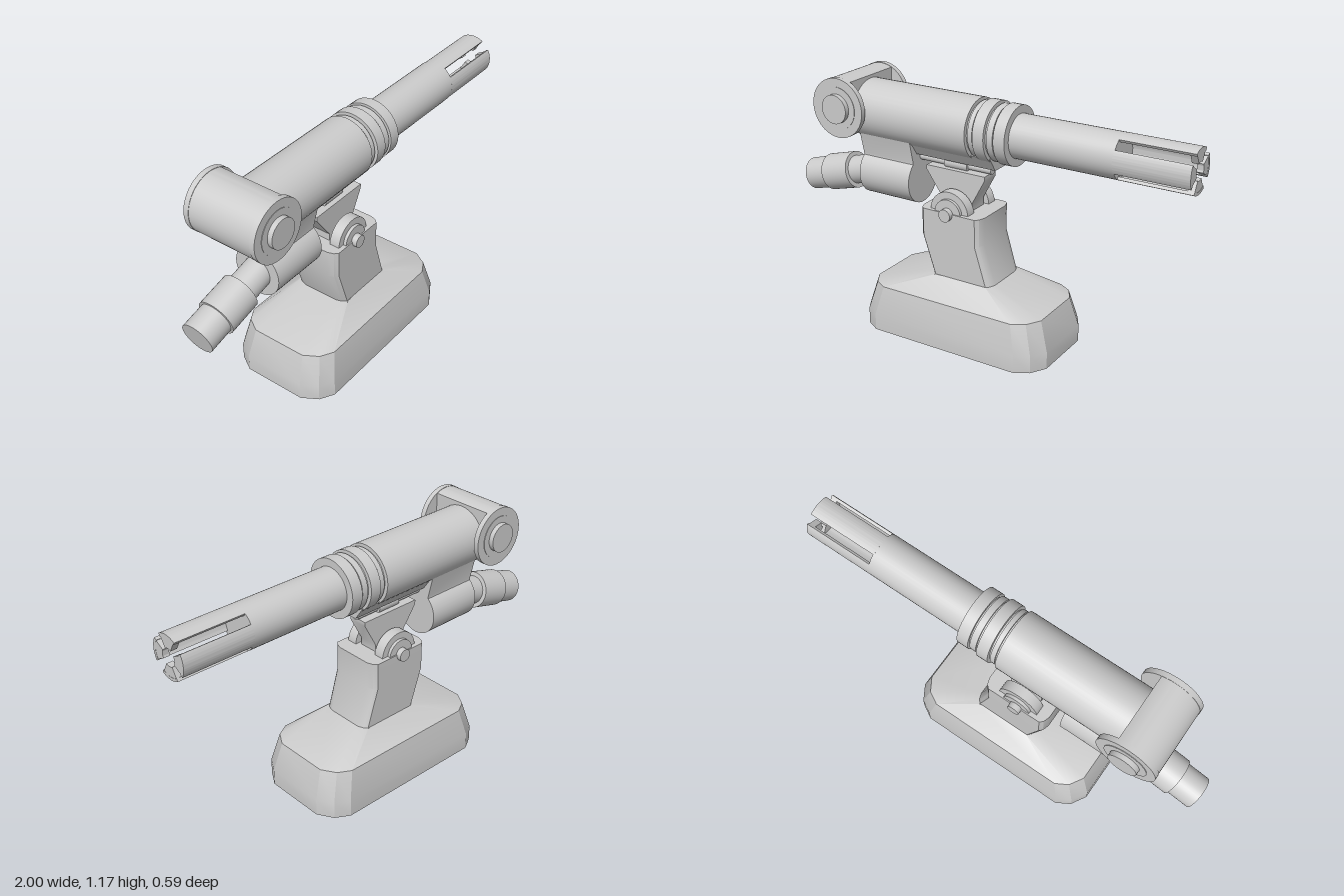
import * as THREE from 'three';
import { toCreasedNormals } from 'three/addons/utils/BufferGeometryUtils.js';

const material = new THREE.MeshStandardMaterial({ color: 0xcccccc });

function add(parent, name, geometry, x = 0, y = 0, z = 0) {
  const mesh = new THREE.Mesh(geometry, material);
  mesh.name = name;
  mesh.position.set(x, y, z);
  parent.add(mesh);
  return mesh;
}

// Cylinder along x from x0 to x1
function rod(x0, x1, r, sides = 40) {
  return new THREE.CylinderGeometry(r, r, Math.abs(x1 - x0), sides)
    .rotateZ(-Math.PI / 2).translate((x0 + x1) / 2, 0, 0);
}

// Cylinder along z, centred
function disc(r, depth, sides = 40) {
  return new THREE.CylinderGeometry(r, r, depth, sides).rotateX(Math.PI / 2);
}

// Extrusion along z, centred
function slab(shape, depth) {
  const g = new THREE.ExtrudeGeometry(shape, { depth, bevelEnabled: false, curveSegments: 20 });
  return toCreasedNormals(g.translate(0, 0, -depth / 2), 0.6);
}

// Extrusion along x from x0 to x1; shape x becomes -z
function extrudeX(shape, x0, x1) {
  const g = new THREE.ExtrudeGeometry(shape, { depth: x1 - x0, bevelEnabled: false, curveSegments: 16 });
  return toCreasedNormals(g.rotateY(Math.PI / 2).translate(x0, 0, 0), 0.6);
}

function polygon(points) {
  return new THREE.Shape(points.map(([x, y]) => new THREE.Vector2(x, y)));
}

// Stack of rectangles with chamfered corners: [y, halfLength, halfWidth, cornerX, cornerZ, offsetX]
function loft(sections) {
  const rings = sections.map(([y, l, w, cx, cz, ox = 0]) => {
    const corner = [[l, w - cz], [l - 0.4 * cx, w - 0.34 * cz], [l - cx, w]];
    const ring = [];
    for (const [sx, sz] of [[1, 1], [-1, 1], [-1, -1], [1, -1]]) {
      const pts = sx * sz > 0 ? corner : [...corner].reverse();
      for (const [x, z] of pts) ring.push([ox + sx * x, y, sz * z]);
    }
    return ring;
  });
  const out = [];
  const n = rings[0].length;
  const last = rings[rings.length - 1];
  for (let i = 0; i < n; i++) {
    const j = (i + 1) % n;
    for (let k = 0; k < rings.length - 1; k++) {
      const a = rings[k][i], b = rings[k][j], c = rings[k + 1][j], d = rings[k + 1][i];
      out.push(...a, ...d, ...c, ...a, ...c, ...b);
    }
    if (i > 0 && i < n - 1) {
      out.push(...rings[0][0], ...rings[0][i], ...rings[0][j]);
      out.push(...last[0], ...last[j], ...last[i]);
    }
  }
  const g = new THREE.BufferGeometry();
  g.setAttribute('position', new THREE.Float32BufferAttribute(out, 3));
  return toCreasedNormals(g, 0.45);
}

// Ring sector centred on the up direction
function sector(inner, outer, half) {
  const s = new THREE.Shape();
  s.absarc(0, 0, outer, Math.PI / 2 - half, Math.PI / 2 + half, false);
  s.absarc(0, 0, inner, Math.PI / 2 + half, Math.PI / 2 - half, true);
  return s;
}

export function createModel() {
  const model = new THREE.Group();
  model.name = 'turret';
  const turret = new THREE.Group();
  turret.name = 'turretBody';
  turret.position.x = -0.07;
  turret.rotation.y = 0.096;
  model.add(turret);

  // Base and leaning column
  add(turret, 'base', loft([
    [0, 0.485, 0.26, 0.108, 0.11],
    [0.08, 0.485, 0.26, 0.108, 0.11],
    [0.22, 0.443, 0.233, 0.1, 0.1],
    [0.305, 0.165, 0.135, 0.03, 0.045, 0.02],
  ]));
  add(turret, 'column', loft([
    [0.3, 0.16, 0.132, 0.025, 0.045, 0.02],
    [0.49, 0.162, 0.134, 0.025, 0.045, -0.04],
    [0.62, 0.162, 0.134, 0.025, 0.045, -0.04],
  ]));

  // Pivot ears, pin and the bracket between them
  for (const s of [1, -1]) {
    add(turret, 'pivotEar', disc(0.1, 0.05), -0.05, 0.615, s * 0.088);
    add(turret, 'pivotHub', disc(0.068, 0.02), -0.05, 0.615, s * 0.118);
  }
  add(turret, 'pivotPin', disc(0.03, 0.31, 24), -0.05, 0.615, 0);
  add(turret, 'bracket', slab(polygon([
    [-0.13, 0.6], [0.03, 0.6], [0.03, 0.655], [0.095, 0.775], [0.095, 0.795],
    [-0.215, 0.795], [-0.215, 0.775], [-0.13, 0.655],
  ]), 0.095));

  // Slide rod and cradle under the barrel
  add(turret, 'slideRod', rod(-0.28, 0.11, 0.019, 20), 0, 0.815, 0);
  add(turret, 'slideCollar', rod(-0.13, -0.01, 0.03, 20), 0, 0.815, 0);
  add(turret, 'cradle', extrudeX(polygon([
    [-0.045, 0.835], [0.045, 0.835], [0.09, 0.9], [-0.09, 0.9],
  ]), -0.27, 0.15));

  // Receiver, rings and barrel
  const gun = new THREE.Group();
  gun.name = 'gun';
  gun.position.y = 1;
  turret.add(gun);
  add(gun, 'receiver', rod(-0.56, 0.05, 0.14));
  add(gun, 'ringSeat', rod(0.04, 0.24, 0.122));
  for (const [x0, x1, r] of [[0.06, 0.082, 0.13], [0.09, 0.145, 0.14], [0.155, 0.185, 0.13], [0.192, 0.247, 0.136]]) {
    add(gun, 'barrelRing', rod(x0, x1, r));
  }
  add(gun, 'barrel', rod(0.2, 0.735, 0.1));

  // Four muzzle prongs with thick tips
  for (let i = 0; i < 4; i++) {
    const prong = new THREE.Group();
    prong.name = 'muzzleProng';
    prong.rotation.x = i * Math.PI / 2;
    gun.add(prong);
    add(prong, 'prongStrip', extrudeX(sector(0.086, 0.1, 0.54), 0.73, 1.066));
    add(prong, 'prongTip', extrudeX(sector(0.04, 0.099, 0.5), 1.035, 1.065));
  }

  // Cross drum behind the receiver, cut flat towards the front
  const drum = new THREE.Group();
  drum.name = 'drum';
  drum.position.set(-0.61, 1.03, 0);
  turret.add(drum);
  const cut = Math.acos(0.06 / 0.138);
  const drumShape = new THREE.Shape();
  drumShape.absarc(0, 0, 0.138, cut, 2 * Math.PI - cut, false);
  add(drum, 'drumCore', slab(drumShape, 0.32));
  for (const s of [1, -1]) {
    add(drum, 'drumRim', disc(0.14, 0.025), 0, 0, s * 0.168);
    add(drum, 'drumInset', disc(0.1, 0.01), 0, 0, s * 0.178);
    add(drum, 'drumBoss', disc(0.068, 0.04), 0, 0, s * 0.186);
  }

  // Lower housing with a neck up to the receiver
  const housing = new THREE.Shape();
  const neck = Math.acos(0.075 / 0.115);
  housing.moveTo(-0.105, 0.93);
  housing.lineTo(-0.075, 0.8);
  housing.absarc(0, 0.703, 0.115, Math.PI - neck, 2 * Math.PI + neck, false);
  housing.lineTo(0.075, 0.8);
  housing.lineTo(0.105, 0.93);
  add(turret, 'housing', extrudeX(housing, -0.55, -0.27));

  // Stepped tube sloping down to the rear
  const tube = new THREE.Group();
  tube.name = 'rearTube';
  tube.position.set(-0.53, 0.704, 0);
  tube.rotation.z = 0.26;
  turret.add(tube);
  add(tube, 'tubeNeck', rod(-0.15, 0.05, 0.068));
  add(tube, 'tubeSleeve', rod(-0.285, -0.13, 0.088));
  add(tube, 'tubeEnd', rod(-0.4, -0.28, 0.077));

  return model;
}
